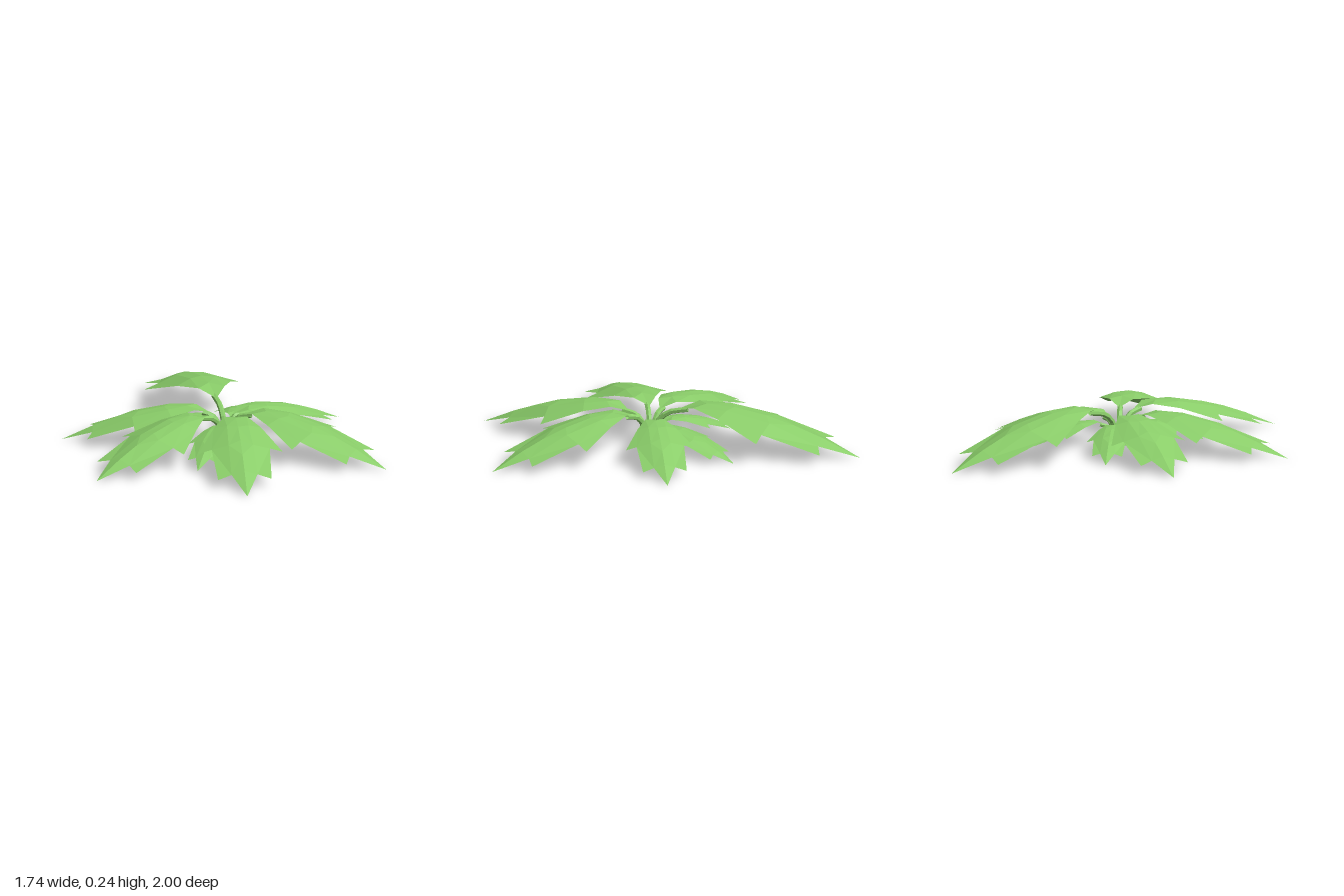
import * as THREE from 'three';

const leafGreen = new THREE.MeshStandardMaterial({ color: 0x8acd69, side: THREE.DoubleSide, flatShading: true });
leafGreen.name = 'leaf green';

// Centre of the clump of stems
const CX = -0.005, CZ = 0.07;

// Leaf template as [along, across, droop], in fractions of the leaf length
const APEX = -0.04;
const MID = [APEX, 0.12, 0.28, 0.46, 0.62, 0.78, 1].map((u) => [u, 0, 0]);
const SIDE = [
  [0.06, 0.075, 0.005], // 7 shoulder
  [0.22, 0.155, 0.035], // 8 flank
  [0.47, 0.275, 0.08],  // 9 lower lobe
  [0.48, 0.19, 0.05],   // 10 lower notch
  [0.81, 0.175, 0.035], // 11 upper lobe
  [0.78, 0.085, 0.025], // 12 upper notch
  [0.25, 0.07, 0.005],  // 13 inner fold, near
  [0.5, 0.08, 0.01],    // 14 inner fold, far
];
const FACES = [
  [0, 7, 1], [1, 7, 13], [7, 8, 13], [1, 13, 2], [2, 13, 14], [2, 14, 3], [13, 8, 10], [13, 10, 14],
  [8, 9, 10], [3, 14, 4], [4, 14, 12], [14, 10, 12], [10, 11, 12], [4, 12, 5], [5, 12, 6],
];

// Arched blade: low at the stem, flat down the middle, drooping at the sides
function leafBlade(base, tip, height) {
  const dx = tip[0] - base[0], dz = tip[1] - base[1], length = Math.hypot(dx, dz);
  const place = ([u, v, droop]) => {
    const arch = u < 0 ? 0.83 : 1 - (Math.abs(u - 0.15) / 0.85) ** 1.75;
    return [
      base[0] + dx * u - dz * v,
      Math.max(0.002, height * arch - droop * length),
      base[1] + dz * u + dx * v,
    ];
  };
  const positions = [];
  for (const side of [1, -1]) {
    const points = [...MID, ...SIDE].map(([u, v, droop]) => place([u, v * side, droop]));
    for (const [a, b, c] of FACES) {
      const order = side > 0 ? [a, b, c] : [a, c, b];
      order.forEach((i) => positions.push(...points[i]));
    }
  }
  const geometry = new THREE.BufferGeometry();
  geometry.setAttribute('position', new THREE.Float32BufferAttribute(positions, 3));
  geometry.computeVertexNormals();
  return geometry;
}

// Stem rising from the clump and bending out to the low end of the leaf
function leafStem(base, tip, height, radius) {
  const angle = Math.atan2(base[1] - CZ, base[0] - CX);
  const x = CX + 0.036 * Math.cos(angle), z = CZ + 0.036 * Math.sin(angle);
  const endX = base[0] + (tip[0] - base[0]) * 0.01;
  const endZ = base[1] + (tip[1] - base[1]) * 0.01;
  const curve = new THREE.CatmullRomCurve3([
    new THREE.Vector3(x, 0, z),
    new THREE.Vector3(x, height * 0.45, z),
    new THREE.Vector3(x + (endX - x) * 0.35, height * 0.72, z + (endZ - z) * 0.35),
    new THREE.Vector3(endX, height * 0.89 - radius, endZ),
  ]);
  return new THREE.TubeGeometry(curve, 7, radius, 6, false);
}

export function createModel() {
  const plant = new THREE.Group();
  plant.name = 'plant';

  // [name, base x z, tip x z, height]
  const leaves = [
    ['backLeaf', [-0.075, -0.11], [-0.39, -1.0], 0.24],
    ['frontLeaf', [0.05, 0.2], [0.17, 1.0], 0.21],
    ['leftLeaf', [0.125, 0.12], [0.87, 0.49], 0.21],
    ['frontRightLeaf', [-0.12, 0.16], [-0.64, 0.79], 0.2],
    ['rightLeaf', [-0.12, 0.065], [-0.87, 0.07], 0.2],
    ['backLeftLeaf', [0.05, 0.01], [0.56, -0.41], 0.175],
    ['smallBackLeaf', [0.03, -0.02], [0.06, -0.5], 0.13],
    ['smallRightLeaf', [-0.06, 0.02], [-0.47, -0.17], 0.13],
    ['smallFrontLeaf', [-0.025, 0.15], [-0.12, 0.58], 0.13],
  ];

  for (const [name, base, tip, height] of leaves) {
    const leaf = new THREE.Group();
    leaf.name = name;
    const blade = new THREE.Mesh(leafBlade(base, tip, height), leafGreen);
    blade.name = 'blade';
    const radius = name.startsWith('small') ? 0.011 : 0.015;
    const stem = new THREE.Mesh(leafStem(base, tip, height, radius), leafGreen);
    stem.name = 'stem';
    leaf.add(blade, stem);
    plant.add(leaf);
  }
  return plant;
}
